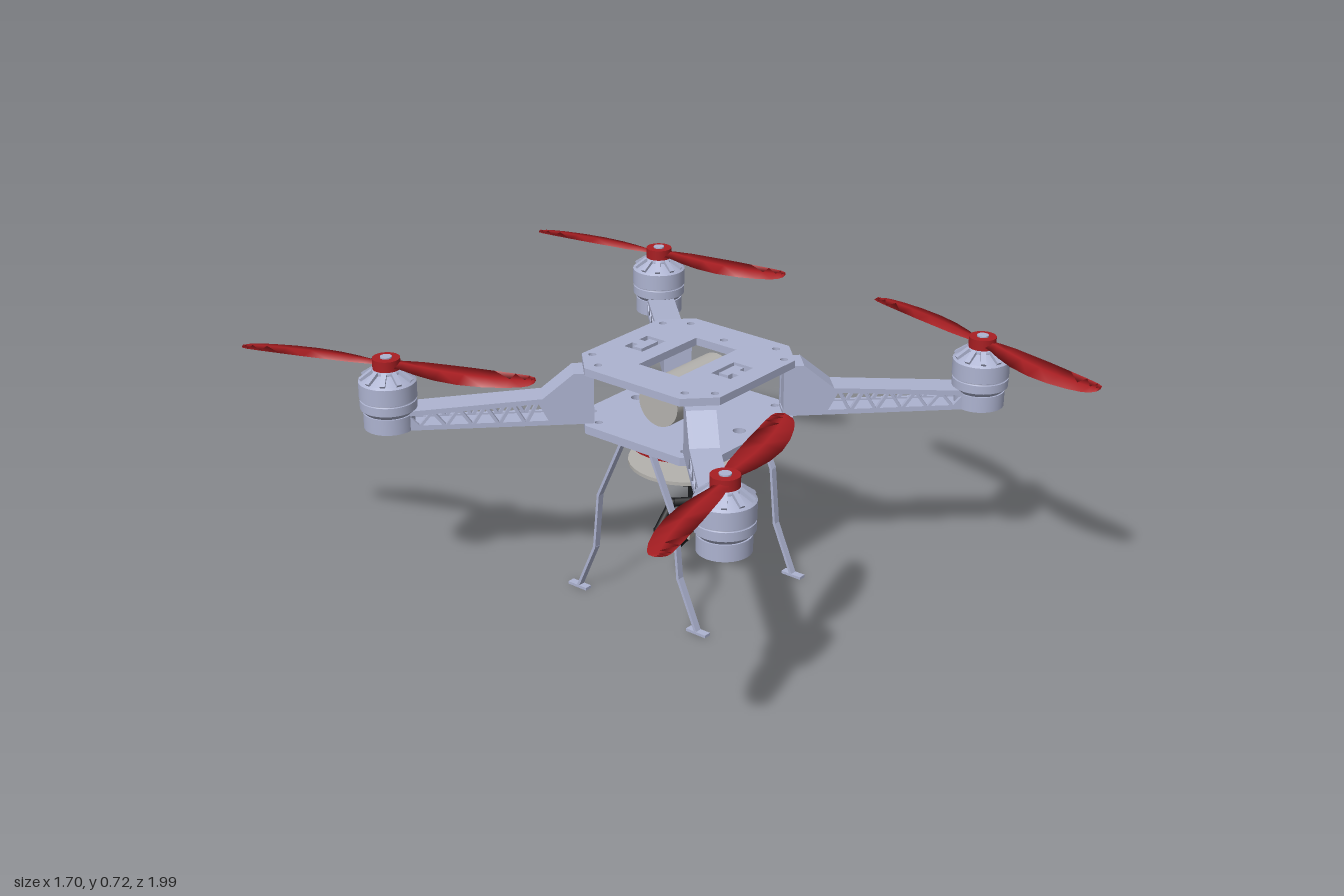
import * as THREE from 'three';

const mat = (color) => new THREE.MeshStandardMaterial({ color });
const BODY = mat(0xadb3d0), RED = mat(0xa81e22), GREY = mat(0xb4b2ae), BLACK = mat(0x17181a);
const CX = 0.137; // body centre in x
const V2 = (p) => new THREE.Vector2(p[0], p[1]);

function mesh(name, geo, material, x = 0, y = 0, z = 0) {
  const m = new THREE.Mesh(geo, material);
  m.name = name;
  m.position.set(x, y, z);
  return m;
}
const box = (name, w, h, d, m, x, y, z) => mesh(name, new THREE.BoxGeometry(w, h, d), m, x, y, z);
const cyl = (name, r0, r1, h, m, x, y, z) => mesh(name, new THREE.CylinderGeometry(r0, r1, h, 32), m, x, y, z);

function extrude(points, holes, depth) {
  const shape = new THREE.Shape(points.map(V2));
  for (const h of holes) shape.holes.push(h.isPath ? h.path : new THREE.Path(h.map(V2)));
  return new THREE.ExtrudeGeometry(shape, { depth, bevelEnabled: false, curveSegments: 12 });
}
const round = (x, y, r) => ({ isPath: true, path: new THREE.Path().absarc(x, y, r, 0, Math.PI * 2, true) });

// Flat plate with cut corners and holes
function plate(name, holes, top, depth) {
  const a = 0.24, c = 0.165;
  const outline = [[a, -c], [a, c], [c, a], [-c, a], [-a, c], [-a, -c], [-c, -a], [c, -a]];
  const geo = extrude(outline, holes, depth).rotateX(Math.PI / 2);
  return mesh(name, geo, BODY, CX, top, 0);
}

function boltHoles() {
  const list = [];
  for (const sx of [-1, 1]) for (const sz of [-1, 1]) {
    list.push(round(sx * 0.152, sz * 0.213, 0.011), round(sx * 0.2, sz * 0.15, 0.011));
  }
  return list;
}

// Bracket-shaped slot in the top plate
const bracketSlot = (s) => [[-0.05, 0.12], [0.05, 0.12], [0.05, 0.185], [0.015, 0.185], [0.015, 0.165],
  [0.035, 0.165], [0.035, 0.135], [-0.035, 0.135], [-0.035, 0.165], [-0.015, 0.165], [-0.015, 0.185], [-0.05, 0.185]]
  .map(([x, z]) => [x, s * z]);

// Hollow truss arm lying along +x
function makeArm() {
  const arm = new THREE.Group();
  arm.name = 'arm';
  const w = 0.08, t = 0.012, bottom = 0.52;
  const topEdge = [[0.26, 0.668], [0.315, 0.668], [0.4, 0.598], [0.775, 0.575]];
  const topAt = (s) => 0.598 - (s - 0.4) * 0.061;
  const holes = [];
  const n = 10, s0 = 0.385, pitch = 0.036;
  for (let i = 0; i < n; i++) {
    const s = s0 + i * pitch, lo = bottom + 0.014;
    const hi = (x) => topAt(x) - 0.014;
    holes.push(i % 2
      ? [[s, hi(s)], [s + 0.026, lo], [s + 0.052, hi(s + 0.052)]]
      : [[s, lo], [s + 0.026, hi(s + 0.026)], [s + 0.052, lo]]);
  }
  const side = extrude([[0.26, bottom], [0.775, bottom], ...[...topEdge].reverse()], holes, t);
  for (const z of [-w / 2, w / 2 - t]) arm.add(mesh('armSide', side, BODY, 0, 0, z));
  // top skin follows the sloping edge, bottom skin is flat
  const under = topEdge.map(([x, y]) => [x, y - 0.01]).reverse();
  arm.add(mesh('armTop', extrude([...topEdge, ...under], [], w - 0.002), BODY, 0, 0, -w / 2 + 0.001));
  arm.add(box('armBottom', 0.515, 0.01, w - 0.002, BODY, 0.5175, bottom + 0.005, 0));
  arm.add(box('armRoot', 0.05, 0.14, w - 0.004, BODY, 0.288, 0.594, 0));
  return arm;
}

function makeMotor() {
  const g = new THREE.Group();
  g.name = 'motor';
  g.add(cyl('motorMount', 0.07, 0.07, 0.045, BODY, 0, 0.5425, 0));
  g.add(cyl('motorFoot', 0.045, 0.045, 0.01, BODY, 0, 0.515, 0));
  const sections = [
    [[0, 0.56], [0.06, 0.56], [0.078, 0.578]],
    [[0.078, 0.578], [0.078, 0.602]],
    [[0.078, 0.602], [0.074, 0.602], [0.074, 0.608], [0.079, 0.608]],
    [[0.079, 0.608], [0.079, 0.655]],
    [[0.079, 0.655], [0.072, 0.66]],
    [[0.072, 0.66], [0.04, 0.68]],
    [[0.04, 0.68], [0.04, 0.69], [0, 0.69]],
  ];
  for (const s of sections) g.add(mesh('motorBell', new THREE.LatheGeometry(s.map(V2), 36), BODY));
  // Cooling ribs on the bell's shoulder
  for (let i = 0; i < 10; i++) {
    const pivot = new THREE.Group();
    pivot.name = 'coolingRib';
    pivot.rotation.y = (i * Math.PI) / 5;
    const rib = box('rib', 0.042, 0.01, 0.014, BODY, 0.056, 0.674, 0);
    rib.rotation.z = -0.6;
    pivot.add(rib);
    g.add(pivot);
  }
  return g;
}

// Blade lofted from sections: distance, rear edge z, front edge z
function bladeGeometry() {
  const rows = [[0.015, -0.02, 0.02, 0.012], [0.05, -0.025, 0.024, 0.01], [0.1, -0.03, 0.041, 0.008],
    [0.16, -0.031, 0.056, 0.007], [0.23, -0.032, 0.063, 0.006], [0.3, -0.031, 0.059, 0.005],
    [0.36, -0.03, 0.048, 0.004], [0.4, -0.028, 0.035, 0.003], [0.418, -0.023, 0.024, 0.003], [0.426, -0.01, 0.01, 0.002]];
  const pos = [], idx = [];
  for (const [x, z0, z1, t] of rows) {
    const pitch = (z) => -0.13 * z, mid = (z0 + z1) / 2;
    pos.push(x, pitch(z0), z0, x, pitch(mid) + t / 2 + 0.002, mid, x, pitch(z1), z1, x, pitch(mid) - t / 2, mid);
  }
  for (let i = 0; i < rows.length - 1; i++) for (let j = 0; j < 4; j++) {
    const k = (j + 1) % 4, a = i * 4 + j, b = i * 4 + k;
    idx.push(a, b, b + 4, a, b + 4, a + 4);
  }
  const e = (rows.length - 1) * 4;
  idx.push(e, e + 1, e + 2, e, e + 2, e + 3);
  const geo = new THREE.BufferGeometry();
  geo.setAttribute('position', new THREE.Float32BufferAttribute(pos, 3));
  geo.setIndex(idx);
  geo.computeVertexNormals();
  return geo;
}

function makePropeller() {
  const g = new THREE.Group();
  g.name = 'propeller';
  const geo = bladeGeometry();
  for (const a of [0, Math.PI]) {
    const blade = mesh('blade', geo, RED, 0, 0.703, 0);
    blade.rotation.y = a;
    g.add(blade);
  }
  g.add(cyl('hub', 0.038, 0.038, 0.034, RED, 0, 0.703, 0));
  g.add(cyl('hubNut', 0.016, 0.016, 0.006, BODY, 0, 0.721, 0));
  return g;
}

// Bent flat-strip leg; sz picks front or back
function makeLeg(x, sz) {
  const g = new THREE.Group();
  g.name = 'leg';
  const pts = [[0.05, 0.497], [0.134, 0.315], [0.15, 0.148], [0.213, 0.006]];
  for (let i = 0; i < 3; i++) {
    const [z0, y0] = pts[i], [z1, y1] = pts[i + 1];
    const part = box('legStrip', 0.02, Math.hypot(z1 - z0, y1 - y0) + 0.004, 0.008, BODY, x, (y0 + y1) / 2, (sz * (z0 + z1)) / 2);
    part.rotation.x = Math.atan2(sz * (z1 - z0), y1 - y0);
    g.add(part);
  }
  g.add(box('foot', 0.022, 0.008, 0.066, BODY, x, 0.004, sz * 0.215));
  return g;
}

// Camera hung on a slanted swivel frame
function makeGimbal() {
  const g = new THREE.Group();
  g.name = 'cameraGimbal';
  g.add(cyl('yawMotor', 0.03, 0.03, 0.045, BLACK, CX, 0.335, 0));
  g.add(cyl('yawMotorCap', 0.024, 0.024, 0.025, GREY, CX, 0.369, 0));
  g.add(box('hangerTop', 0.05, 0.022, 0.03, BLACK, 0.165, 0.342, -0.005));
  g.add(box('hanger', 0.026, 0.11, 0.026, BLACK, 0.177, 0.3, -0.005));
  const corners = [[0.235, 0.25, 0.085], [0.11, 0.25, -0.03], [0.065, 0.175, -0.045], [0.185, 0.175, 0.055]]
    .map((p) => new THREE.Vector3(...p));
  corners.forEach((p, i) => {
    const path = new THREE.LineCurve3(p, corners[(i + 1) % 4]);
    g.add(mesh('swivelFrame', new THREE.TubeGeometry(path, 1, 0.013, 10), BLACK));
    g.add(mesh('frameJoint', new THREE.SphereGeometry(0.014, 12, 8), BLACK, p.x, p.y, p.z));
  });
  const cam = new THREE.Group();
  cam.name = 'camera';
  cam.position.set(0.12, 0.17, -0.012);
  cam.rotation.set(0.15, 0.2, 0);
  cam.add(box('cameraBody', 0.1, 0.06, 0.06, BLACK, 0, 0, 0));
  cam.add(box('lensFace', 0.036, 0.036, 0.01, GREY, 0.012, -0.003, 0.032));
  const pivot = cyl('tiltMotor', 0.024, 0.024, 0.03, BLACK, -0.05, 0.005, 0);
  pivot.rotation.z = Math.PI / 2;
  cam.add(pivot);
  g.add(cam);
  return g;
}

export function createModel() {
  const model = new THREE.Group();
  model.name = 'quadcopter';
  const window = [[-0.125, -0.07], [0.125, -0.07], [0.125, 0.07], [-0.125, 0.07]];
  model.add(plate('topPlate', [window, bracketSlot(1), bracketSlot(-1), round(0.16, 0, 0.011), ...boltHoles()], 0.69, 0.022));
  model.add(plate('bottomPlate', [round(0, 0.18, 0.018), round(0, -0.18, 0.018), ...boltHoles()], 0.521, 0.024));

  const tank = cyl('battery', 0.067, 0.067, 0.255, GREY, CX, 0.594, 0);
  tank.rotation.z = Math.PI / 2;
  model.add(tank);

  // Arms with motors and propellers; each pair gives the propeller's heading
  const R = 0.577;
  const corners = [[1, -1, 0.1 - 0.177, -0.418], [-1, -1, -0.158, -0.395], [-1, 1, 0.41, -0.125], [1, 1, 0.1, -0.413]];
  for (const [sx, sz, dx, dz] of corners) {
    const arm = makeArm();
    arm.position.x = CX;
    arm.rotation.y = Math.atan2(-sz, sx);
    const motor = makeMotor(), prop = makePropeller();
    motor.position.set(CX + sx * R, 0, sz * R);
    prop.position.copy(motor.position);
    prop.rotation.y = Math.atan2(-dz, dx);
    model.add(arm, motor, prop);
  }

  for (const sx of [-1, 1]) for (const sz of [-1, 1]) model.add(makeLeg(CX + 0.002 + sx * 0.219, sz));

  model.add(cyl('upperDisc', 0.165, 0.165, 0.01, RED, CX, 0.45, 0));
  model.add(cyl('lowerDisc', 0.165, 0.165, 0.01, GREY, CX, 0.384, 0));
  model.add(makeGimbal());
  return model;
}
